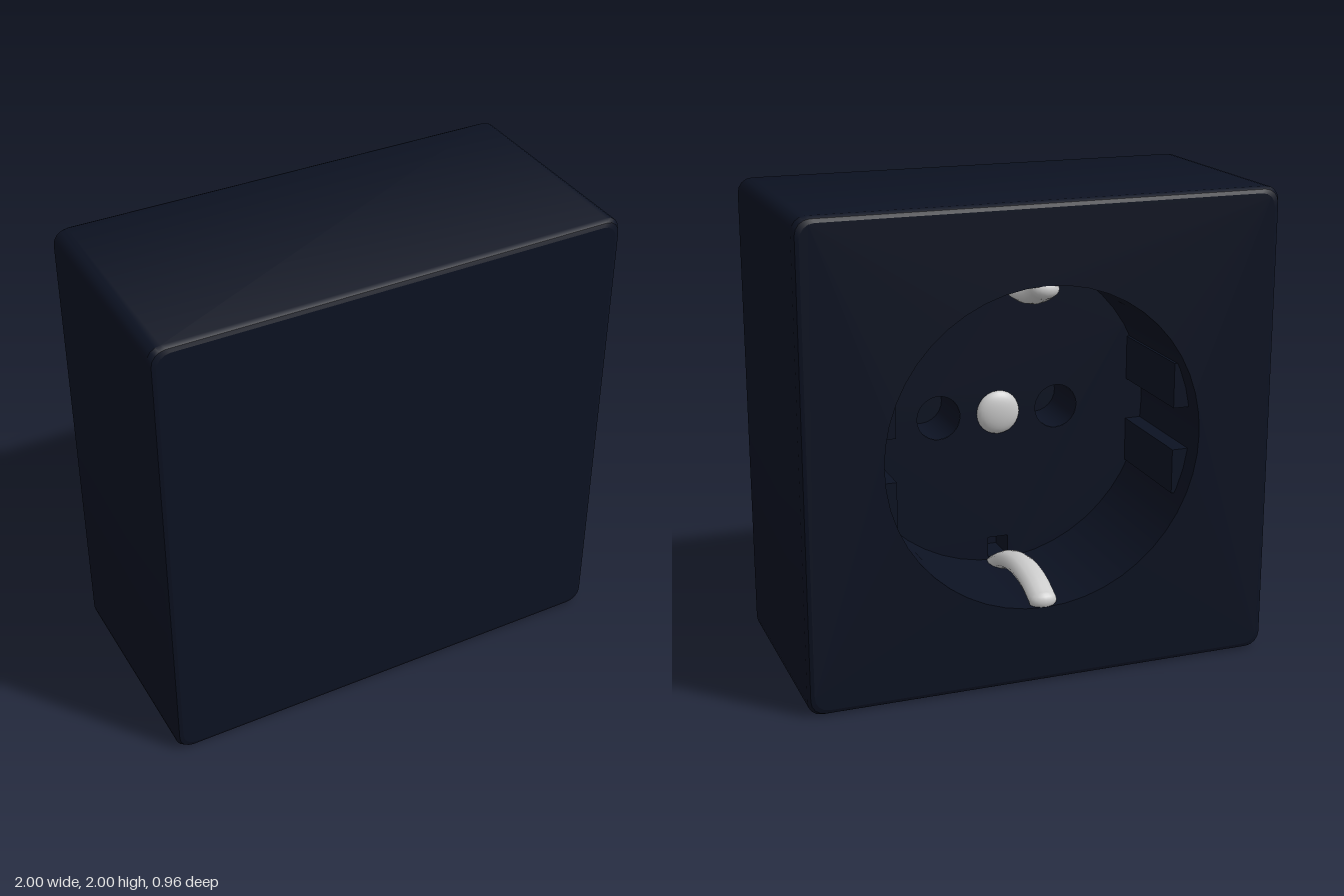
import * as THREE from 'three';
import { toCreasedNormals } from 'three/addons/utils/BufferGeometryUtils.js';

const HALF_DEPTH = 0.48, HOLE_R = 0.67, RECESS = 0.57;
const FLOOR_Z = HALF_DEPTH - RECESS;

const plastic = new THREE.MeshStandardMaterial({ color: 0x0c1222 });
const plasticInside = new THREE.MeshStandardMaterial({ color: 0x0c1222, side: THREE.BackSide });
const metal = new THREE.MeshStandardMaterial({ color: 0xcccccc });

function add(parent, name, geometry, material, x = 0, y = 0, z = 0) {
  const mesh = new THREE.Mesh(geometry, material);
  mesh.name = name;
  mesh.position.set(x, y, z);
  parent.add(mesh);
  return mesh;
}

// Counter-clockwise outline of a square with rounded corners
function outline(half, r = 0.06, steps = 4) {
  const pts = [];
  [[1, 1], [-1, 1], [-1, -1], [1, -1]].forEach(([sx, sy], c) => {
    for (let i = 0; i <= steps; i++) {
      const a = (c + i / steps) * Math.PI / 2;
      pts.push(new THREE.Vector2(sx * (half - r) + r * Math.cos(a), sy * (half - r) + r * Math.sin(a)));
    }
  });
  return pts;
}

// Side walls with a small bevel at both ends
function sideWalls() {
  const sections = [[0.975, -0.48], [0.99, -0.474], [1, -0.455], [1, 0.455], [0.99, 0.474], [0.975, 0.48]]
    .map(([half, z]) => outline(half).map(p => [p.x, p.y, z]));
  const pos = [];
  for (let s = 0; s < sections.length - 1; s++) {
    const lo = sections[s], hi = sections[s + 1];
    lo.forEach((a, i) => {
      const j = (i + 1) % lo.length;
      pos.push(...a, ...lo[j], ...hi[j], ...a, ...hi[j], ...hi[i]);
    });
  }
  const g = new THREE.BufferGeometry();
  g.setAttribute('position', new THREE.Float32BufferAttribute(pos, 3));
  g.computeVertexNormals();
  return toCreasedNormals(g, 0.6);
}

function circle(x, y, r) {
  return new THREE.Path().absarc(x, y, r, 0, Math.PI * 2, true);
}

export function createModel() {
  const model = new THREE.Group();
  const socket = new THREE.Group();
  socket.name = 'socket';
  socket.position.y = 1;
  socket.rotation.y = Math.PI; // the socket opening faces -z
  model.add(socket);

  // Housing
  add(socket, 'housingSides', sideWalls(), plastic);
  add(socket, 'blankPlate', new THREE.ShapeGeometry(new THREE.Shape(outline(0.975))), plastic, 0, 0, -HALF_DEPTH)
    .rotation.y = Math.PI;
  const plate = new THREE.Shape(outline(0.975));
  plate.holes.push(circle(0, 0, HOLE_R));
  add(socket, 'openingPlate', new THREE.ShapeGeometry(plate, 24), plastic, 0, 0, HALF_DEPTH);

  // Round recess
  add(socket, 'recessWall', new THREE.CylinderGeometry(HOLE_R, HOLE_R, RECESS, 48, 1, true),
    plasticInside, 0, 0, HALF_DEPTH - RECESS / 2).rotation.x = Math.PI / 2;
  const floor = new THREE.Shape().absarc(0, 0, HOLE_R, 0, Math.PI * 2);

  for (const s of [-1, 1]) {
    // Pin hole
    floor.holes.push(circle(s * 0.265, 0, 0.095));
    const pin = new THREE.Group();
    pin.name = 'pinHole';
    pin.position.set(s * 0.265, 0, FLOOR_Z);
    socket.add(pin);
    add(pin, 'pinHoleWall', new THREE.CylinderGeometry(0.095, 0.095, 0.25, 24, 1, true), plasticInside, 0, 0, -0.125)
      .rotation.x = Math.PI / 2;
    add(pin, 'pinHoleBottom', new THREE.CircleGeometry(0.095, 24), plastic, 0, 0, -0.25);

    // Slot behind each earth clip
    const y0 = s * 0.61 - 0.045, y1 = s * 0.61 + 0.045;
    floor.holes.push(new THREE.Path([[-0.045, y0], [-0.045, y1], [0.045, y1], [0.045, y0]]
      .map(p => new THREE.Vector2(...p))));
    const slot = new THREE.BoxGeometry(0.09, 0.09, 0.15);
    slot.setIndex(Array.from(slot.index.array).filter((v, i) => i < 24 || i >= 30)); // open at the front
    add(socket, 'clipSlot', slot, plasticInside, 0, s * 0.61, FLOOR_Z - 0.075);

    // Guide ribs, a pair on each side
    for (const t of [-1, 1]) {
      add(socket, 'guideRib', new THREE.BoxGeometry(0.08, 0.19, 0.48), plastic,
        s * 0.635, t * 0.185, FLOOR_Z + 0.24);
    }

    // Bowed earth clip
    const path = new THREE.CatmullRomCurve3(
      [[0.035, 0.65], [0.13, 0.61], [0.27, 0.592], [0.43, 0.62], [0.57, 0.69]]
        .map(([d, h]) => new THREE.Vector3(0, s * h, HALF_DEPTH - d)));
    const clip = new THREE.Group();
    clip.name = 'earthClip';
    clip.scale.x = 1.5;
    socket.add(clip);
    add(clip, 'clipBow', new THREE.TubeGeometry(path, 24, 0.04, 12), metal);
    add(clip, 'clipTip', new THREE.SphereGeometry(0.04, 16, 10), metal, 0, s * 0.65, HALF_DEPTH - 0.035);
  }
  add(socket, 'recessFloor', new THREE.ShapeGeometry(floor, 24), plastic, 0, 0, FLOOR_Z);

  // Domed centre screw
  const dome = new THREE.SphereGeometry(0.095, 24, 8, 0, Math.PI * 2, 0, Math.PI / 2);
  dome.scale(1, 0.4, 1).rotateX(Math.PI / 2);
  add(socket, 'centreScrew', dome, metal, 0, 0, FLOOR_Z);

  return model;
}
